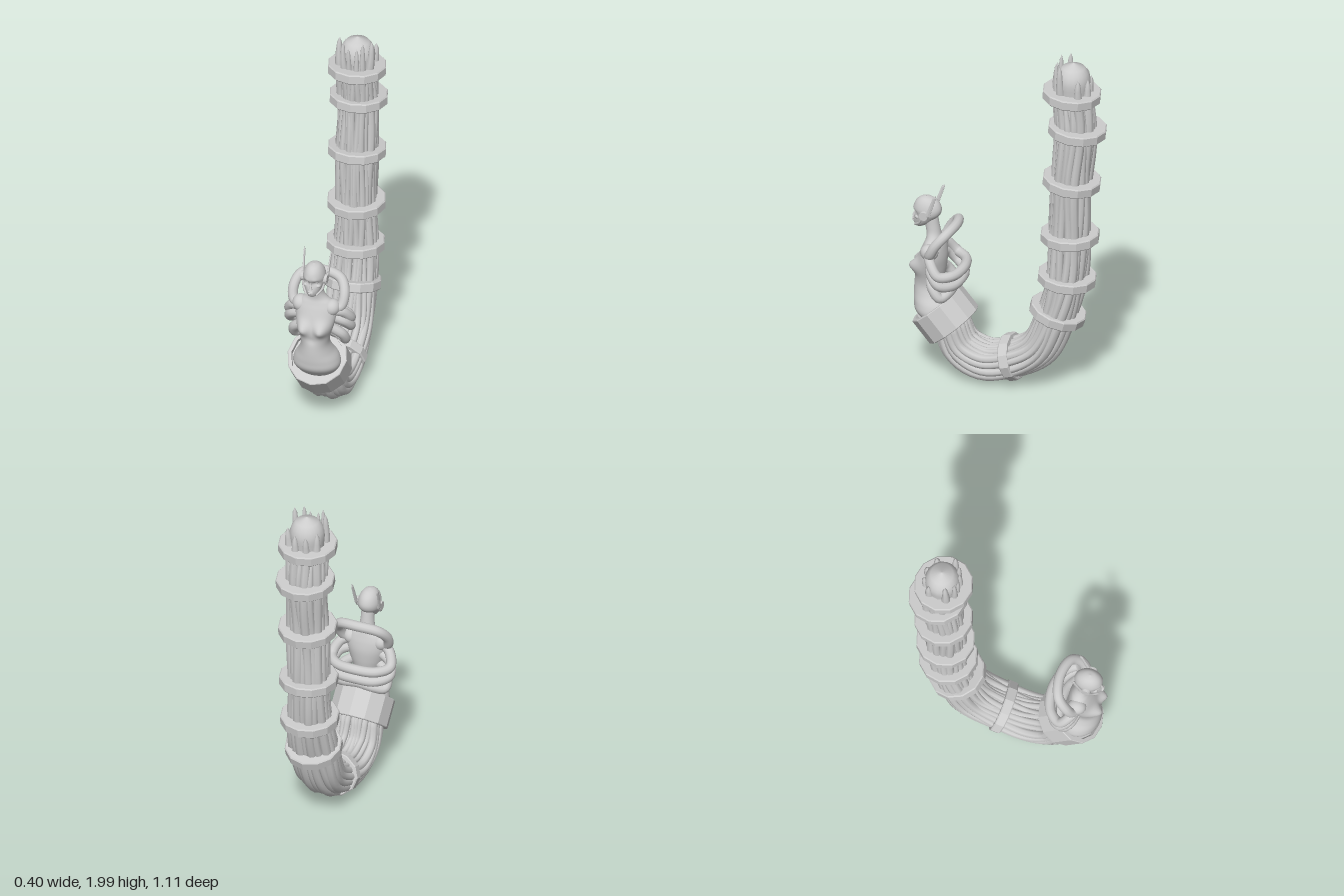
import * as THREE from 'three';

const V = (x, y, z) => new THREE.Vector3(x, y, z);
const { lerp, smoothstep, degToRad } = THREE.MathUtils;
const smooth = new THREE.MeshStandardMaterial({ color: 0xcccccc, side: THREE.DoubleSide });
const faceted = new THREE.MeshStandardMaterial({ color: 0xcccccc, side: THREE.DoubleSide, flatShading: true });

// Closed-round skin over rows (along) and columns (around); point(t, angle) gives each vertex.
function loft(rows, cols, point) {
  const pos = [], index = [];
  for (let i = 0; i <= rows; i++)
    for (let j = 0; j < cols; j++) pos.push(...point(i / rows, (j / cols) * Math.PI * 2).toArray());
  for (let i = 0; i < rows; i++)
    for (let j = 0; j < cols; j++) {
      const k = (j + 1) % cols, a = i * cols, b = a + cols;
      index.push(a + j, b + j, b + k, a + j, b + k, a + k);
    }
  const g = new THREE.BufferGeometry();
  g.setAttribute('position', new THREE.Float32BufferAttribute(pos, 3));
  g.setIndex(index);
  g.computeVertexNormals();
  return g;
}

// Upright body from sections [y, front z, back z, half width]; bumps [x, y, height, size] swell the front.
function bodyLoft(sections, rows, cols, bumps) {
  const curve = (k) => new THREE.CatmullRomCurve3(
    sections.map((s) => V(s[3], s[0], s[k])), false, 'catmullrom', 0.5);
  const front = curve(1), back = curve(2);
  return loft(rows, cols, (t, a) => {
    const f = front.getPoint(t), b = back.getPoint(t);
    const p = V(f.x * Math.cos(a), f.y, (f.z + b.z) / 2 + ((f.z - b.z) / 2) * Math.sin(a));
    if (Math.sin(a) > 0)
      for (const [x, y, h, r] of bumps)
        p.z += h * Math.exp(-((Math.abs(p.x) - x) ** 2 + (p.y - y) ** 2) / (r * r));
    return p;
  });
}

// Centre line of the long curved trunk, from the waist collar to the raised end.
const trunk = new THREE.CatmullRomCurve3([
  [0.33, 0.35], [0.265, 0.183], [0.13, 0.118], [-0.02, 0.146], [-0.18, 0.245], [-0.277, 0.466],
  [-0.328, 0.683], [-0.345, 0.94], [-0.353, 1.27], [-0.38, 1.587], [-0.367, 1.79], [-0.372, 2.0],
].map(([z, y]) => V(0, y, z)));

// Point at offset (x, n) from the trunk centre line, n pointing to the inside of the bend.
function onTrunk(t, x, n) {
  const p = trunk.getPointAt(Math.min(t, 1)), d = trunk.getTangentAt(Math.min(t, 1));
  return V(x, p.y - d.z * n, p.z + d.y * n);
}
// Cable ring half sizes along the trunk: across and in the bend plane
const trunkWidth = (t) => lerp(0.117, 0.092, smoothstep(t, 0.3, 0.6)) + 0.01 * smoothstep(t, 0.9, 0.97);
const trunkDepth = (t) => 0.075 + 0.012 * smoothstep(t, 0, 0.12)
  + 0.005 * smoothstep(t, 0.35, 0.55) + 0.008 * smoothstep(t, 0.9, 0.97);

// Tapered cable following the trunk at a given angle around it.
function strand(angle, radius, wobble, end) {
  return loft(72, 8, (s, a) => {
    const t = s * end;
    const w = angle + 0.07 * Math.sin(t * 17 + wobble) * (1 - smoothstep(t, 0.85, 0.97));
    const spread = 1 + 0.05 * Math.sin(t * 23 + wobble * 2);
    const r = s === 0 || s === 1 ? 0 : radius * Math.min(1, 0.4 + (1 - s) * 9);
    return onTrunk(t,
      trunkWidth(t) * spread * Math.cos(w) + r * Math.cos(a),
      trunkDepth(t) * spread * Math.sin(w) + r * Math.sin(a));
  });
}

// Faceted hoop with bevelled edges.
function hoop(outer, inner, h, bevel) {
  const p = [[inner, -h], [outer - bevel, -h], [outer, -h + bevel], [outer, h - bevel],
    [outer - bevel, h], [inner, h], [inner, -h]];
  return new THREE.LatheGeometry(p.map(([x, y]) => new THREE.Vector2(x, y)), 12);
}

export function createModel() {
  const model = new THREE.Group();
  const add = (name, geometry, material = smooth, parent = model) => {
    const m = new THREE.Mesh(geometry, material);
    m.name = name;
    parent.add(m);
    return m;
  };
  const ball = (name, p, s, parent) => {
    const m = add(name, new THREE.SphereGeometry(1, 24, 16), smooth, parent);
    m.position.set(...p);
    m.scale.set(...s);
    return m;
  };

  // Trunk: rounded core surrounded by cables
  const bundle = new THREE.Group();
  bundle.name = 'cableTrunk';
  model.add(bundle);
  add('trunkCore', loft(90, 20, (s, a) => {
    const u = Math.max(0, (s - 0.952) / 0.048);
    const r = Math.sqrt(Math.max(0, 1 - u * u));
    const t = s * 0.995;
    return onTrunk(t, (trunkWidth(t) - 0.003) * r * Math.cos(a), (trunkDepth(t) - 0.003) * r * Math.sin(a));
  }), smooth, bundle);

  // Cables of one side [angle, radius, end]; long pointed tips in front, short blunt ones behind
  const cables = [
    [-72, 0.028, 0.966], [-33, 0.029, 0.972], [28, 0.025, 0.999], [58, 0.02, 0.998], [77, 0.019, 0.985],
    [-53, 0.022, 0.9], [-12, 0.023, 0.92], [8, 0.022, 0.91], [43, 0.016, 0.93], [67, 0.014, 0.95],
  ];
  cables.forEach(([deg, radius, end], i) => {
    for (const [k, angle] of [degToRad(deg), Math.PI - degToRad(deg)].entries())
      add('cable', strand(angle, radius, i * 2.4 + k * 1.3, end), smooth, bundle);
  });
  for (const angle of [Math.PI / 2, -Math.PI / 2])
    add('middleCable', strand(angle, 0.018, 0.6, 0.93), smooth, bundle);

  // Hoops: z, y, axis tilt (z, y), radius, depth scale
  const hoops = [
    [-0.02, 0.152, -0.957, 0.29, 0.153, 0.84],
    [-0.28, 0.466, -0.295, 0.955, 0.158, 1],
    [-0.333, 0.683, -0.1, 0.995, 0.162, 1],
    [-0.35, 0.94, 0, 1, 0.162, 1],
    [-0.36, 1.272, -0.12, 0.99, 0.162, 1],
    [-0.392, 1.59, -0.1, 0.995, 0.162, 1],
    [-0.36, 1.798, -0.08, 0.996, 0.162, 1],
  ];
  const up = V(0, 1, 0);
  for (const [z, y, dz, dy, r, depth] of hoops) {
    const m = add('hoop', hoop(r, 0.1, 0.028, 0.006), faceted);
    m.position.set(0, y, z);
    m.scale.z = depth;
    m.quaternion.setFromUnitVectors(up, V(0, dy, dz).normalize());
  }

  // Waist collar with a closed floor
  const collar = new THREE.Group();
  collar.name = 'waistCollar';
  collar.position.set(0, 0.35, 0.362);
  collar.quaternion.setFromUnitVectors(up, V(0, 0.764, 0.645).normalize());
  model.add(collar);
  add('collarBand', hoop(0.167, 0.145, 0.08, 0.004), faceted, collar);
  const floor = add('collarFloor', new THREE.CylinderGeometry(0.147, 0.147, 0.05, 12), faceted, collar);
  floor.position.y = 0.025;

  // Upper body
  const figure = new THREE.Group();
  figure.name = 'figure';
  model.add(figure);
  add('torso', bodyLoft([
    [0.32, 0.47, 0.33, 0.1], [0.38, 0.525, 0.3, 0.13], [0.43, 0.535, 0.3, 0.122],
    [0.48, 0.537, 0.33, 0.094], [0.53, 0.535, 0.355, 0.078], [0.58, 0.53, 0.365, 0.083],
    [0.64, 0.522, 0.358, 0.1], [0.7, 0.508, 0.355, 0.113], [0.75, 0.49, 0.362, 0.112],
    [0.785, 0.475, 0.372, 0.092], [0.81, 0.467, 0.38, 0.062], [0.84, 0.468, 0.388, 0.044],
    [0.88, 0.474, 0.396, 0.038], [0.93, 0.48, 0.405, 0.036],
  ], 72, 56, [[0.055, 0.645, 0.044, 0.038], [0, 0.58, -0.006, 0.02]]), smooth, figure);
  add('head', bodyLoft([
    [0.862, 0.511, 0.509, 0.001], [0.867, 0.53, 0.49, 0.018], [0.88, 0.537, 0.465, 0.031],
    [0.9, 0.538, 0.435, 0.043], [0.925, 0.536, 0.41, 0.053], [0.95, 0.532, 0.39, 0.06],
    [0.98, 0.541, 0.385, 0.061], [1.015, 0.53, 0.4, 0.05], [1.04, 0.505, 0.432, 0.03],
    [1.05, 0.472, 0.47, 0.001],
  ], 48, 40, [[0.025, 0.955, -0.01, 0.013], [0, 0.902, 0.008, 0.018], [0.024, 0.975, 0.004, 0.012]]),
  smooth, figure);

  // Face
  const nose = add('nose', new THREE.ConeGeometry(0.01, 0.045, 10), smooth, figure);
  nose.position.set(0, 0.942, 0.537);
  nose.rotation.x = -0.2;
  ball('upperLip', [0, 0.907, 0.543], [0.016, 0.005, 0.009], figure);
  ball('lowerLip', [0, 0.896, 0.542], [0.014, 0.005, 0.009], figure);

  for (const s of [1, -1]) {
    ball('eye', [s * 0.025, 0.956, 0.511], [0.012, 0.007, 0.011], figure);
    ball('cheek', [s * 0.032, 0.932, 0.505], [0.017, 0.013, 0.02], figure);
    const shoulder = ball('shoulder', [s * 0.088, 0.752, 0.425], [0.045, 0.048, 0.05], figure);
    shoulder.rotation.z = -s * 0.5;

    // Ear disc, jaw strut and swept-back blade
    const ear = add('earDisc', new THREE.CylinderGeometry(0.025, 0.028, 0.022, 16), faceted, figure);
    ear.position.set(s * 0.063, 0.955, 0.465);
    ear.rotation.z = -s * Math.PI / 2;
    add('jawStrut', new THREE.TubeGeometry(new THREE.CatmullRomCurve3([
      V(s * 0.062, 0.945, 0.475), V(s * 0.052, 0.905, 0.495), V(s * 0.03, 0.882, 0.525)]), 10, 0.007, 6),
    smooth, figure);
    add('earBlade', loft(8, 6, (t, a) => {
      const r = t === 0 || t === 1 ? 0 : 0.015 - 0.005 * t;
      return V(s * (0.068 + 0.008 * t) + 0.5 * r * Math.cos(a), 0.94 + 0.157 * t, 0.448 - 0.055 * t + r * Math.sin(a));
    }), faceted, figure);
  }

  // Boneless arms looping from one side to the other behind the back (left half, mirrored)
  const arms = [
    [[0.08, 0.75, 0.43], [0.13, 0.755, 0.41], [0.143, 0.82, 0.375], [0.11, 0.88, 0.325], [0, 0.9, 0.3]],
    [[0.08, 0.735, 0.43], [0.14, 0.72, 0.405], [0.172, 0.655, 0.35], [0.12, 0.645, 0.285], [0, 0.65, 0.255]],
    [[0.08, 0.69, 0.42], [0.15, 0.655, 0.395], [0.17, 0.6, 0.345], [0.11, 0.58, 0.29], [0, 0.585, 0.267]],
    [[0.075, 0.62, 0.42], [0.135, 0.57, 0.395], [0.14, 0.51, 0.35], [0.09, 0.52, 0.32], [0, 0.535, 0.31]],
  ];
  for (const half of arms) {
    const left = half.map((p) => V(...p));
    const right = half.slice(0, -1).reverse().map(([x, y, z]) => V(-x, y, z));
    add('loopingArm', new THREE.TubeGeometry(
      new THREE.CatmullRomCurve3([...left, ...right]), 64, 0.028, 12), smooth, figure);
  }
  return model;
}
